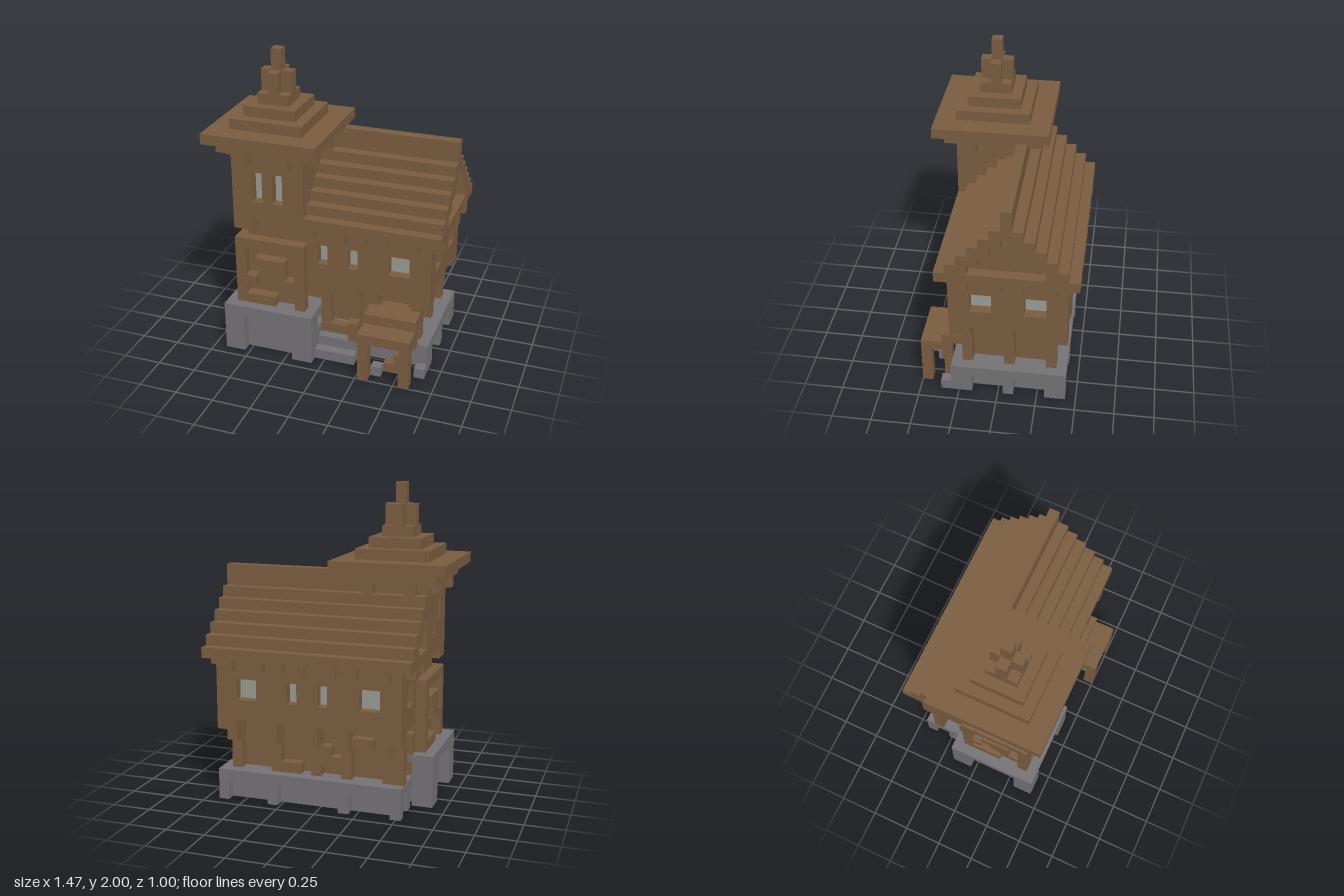
import * as THREE from 'three';
import { mergeGeometries } from 'three/addons/utils/BufferGeometryUtils.js';

const U = 1 / 15; // one building block

export function createModel() {
  const model = new THREE.Group();
  const mat = (name, color) => {
    const m = new THREE.MeshStandardMaterial({ color });
    m.name = name;
    return m;
  };
  const wood = mat('wood', 0x7a5d40);
  const stone = mat('stone', 0x747274);
  const glass = mat('glass', 0x9a9b93);

  // A box given by its limits in blocks
  const box = (x0, x1, y0, y1, z0, z1) => new THREE.BoxGeometry((x1 - x0) * U, (y1 - y0) * U, (z1 - z0) * U)
    .translate((x0 + x1) / 2 * U, (y0 + y1) / 2 * U, (z0 + z1) / 2 * U);
  const part = (name, material, boxes) => {
    const mesh = new THREE.Mesh(mergeGeometries(boxes.map(b => (Array.isArray(b) ? box(...b) : b))), material);
    mesh.name = name;
    model.add(mesh);
  };
  // A wall strip pierced by holes [start, end] between heights h0 and h1
  const pierced = (a0, a1, y0, y1, h0, h1, holes, put) => {
    const out = [put(a0, a1, y0, h0), put(a0, a1, h1, y1)];
    let a = a0;
    for (const [s, e] of [...holes, [a1, a1]]) {
      if (s > a) out.push(put(a, s, h0, h1));
      a = e;
    }
    return out;
  };
  const alongX = (z0, z1) => (a, b, y0, y1) => [a, b, y0, y1, z0, z1];
  const alongZ = (x0, x1) => (a, b, y0, y1) => [x0, x1, y0, y1, a, b];

  // Stone base of the house: plinth, top band and small buttresses
  const base = [
    [-7, 9, 0, 3, -5.5, 3.5],
    [-8, 10, 2, 3, -6.5, -5.5], [-8, -7, 2, 3, -6.5, 4.5], [9, 10, 2, 3, -6.5, 4.5],
    [-8, -1, 2, 3, 3.5, 4.5], [3, 10, 2, 3, 3.5, 4.5],
  ];
  for (const x of [-8, -3, 4, 9]) base.push([x, x + 1, 0, 2, -6.5, -5.5]);
  for (const z of [-6.5, -5.5, -1.5, 2.5, 3.5]) base.push([9, 10, 0, 2, z, z + 1]);
  for (const z of [-6.5, -4]) base.push([-8, -7, 0, 2, z, z + 1]);
  base.push([3, 4, 0, 2, 3.5, 4.5]);
  part('houseBase', stone, base);

  // Front steps and loose kerb stones
  part('frontSteps', stone, [
    [-1, 3, 0, 2, 3.5, 4.5], [-1, 3, 0, 1, 4.5, 5.5],
    [5, 6, 0, 1, 5.5, 6.5], [9, 10, 0, 1, 4.5, 5.5],
  ]);

  // Stone base of the tower
  const towerBase = [
    [-9, -2, 0, 4, -1.5, 5.5],
    [-10, -1, 4, 5, -2.5, 6.5],
  ];
  for (const x of [-10, -3]) for (const z of [-2.5, 4.5]) towerBase.push([x, x + 2, 0, 4, z, z + 2]);
  part('towerBase', stone, towerBase);
  part('floor', wood, [[-6, 7, -0.02, 0.02, -4.5, 2.5], [-7, 8, -0.02, 0.02, -3.5, 1.5], [-7, -3, -0.02, 0.02, 1.5, 4.5]]);

  // Ground floor: recessed walls and timber posts
  const ground = [[-7, 8, 3, 8, -4.5, 2.5], [-1, 3, 2, 3, 2.5, 3.6]];
  for (const x of [-1, 2, 4, 8]) ground.push([x, x + 1, 3, 7, 2.5, 3.5]);
  for (const z of [-5.5, -1.5, 2.5]) ground.push([8, 9, 3, 7, z, z + 1]);
  for (const x of [-7, -3, 0, 4, 8]) {
    ground.push([x, x + 1, 3, 7, -5.5, -4.5], [x, x + 1, 6, 7, -6.5, -4.5]);
  }
  ground.push([-2, 0, 4, 5, -5.5, -4.5], [-1, 1, 5, 6, -5.5, -4.5], [2, 4, 3, 4, -5.5, -4.5], [-5, -3, 6, 7, -5.5, -4.5]);
  for (const z of [-5.5, -2.5]) ground.push([-8, -7, 3, 7, z, z + 1]);
  ground.push([2, 3, 2, 4, 3.5, 4.5], [-1, 3, 7, 8, 2.5, 3.5]);
  part('groundFloor', wood, ground);

  // Jettied upper floor with window openings
  const longHoles = [[-6, -4], [-1, 0], [2, 3], [6, 8]];
  const sideHoles = [[-4.5, -2.5], [0.5, 2.5]];
  part('upperFloor', wood, [
    [-7, 9, 8, 14, -5.5, 3.5],
    ...pierced(-8, 10, 8, 14, 10, 12, longHoles.slice(1), alongX(3.5, 4.5)),
    ...pierced(-8, 10, 8, 14, 10, 12, longHoles, alongX(-6.5, -5.5)),
    ...pierced(-6.5, 4.5, 8, 14, 10, 12, sideHoles, alongZ(9, 10)),
    ...pierced(-6.5, 4.5, 8, 14, 10, 12, sideHoles.slice(0, 1), alongZ(-8, -7)),
  ]);

  // Lower edge of the upper floor, notched between the posts
  const skirt = [];
  for (const [a, b] of [[-8, -1], [-1, 3], [4, 5], [8, 10]]) skirt.push([a, b, 7, 8, 3.5, 4.5]);
  for (const [a, b] of [[-8, -6], [-3, -2], [0, 1], [4, 5], [8, 10]]) skirt.push([a, b, 7, 8, -6.5, -4.5]);
  for (const [a, b] of [[-6.5, -4.5], [-1.5, -0.5], [2.5, 4.5]]) skirt.push([8, 10, 7, 8, a, b], [-8, -7, 7, 8, a, b]);
  part('upperFloorSkirt', wood, skirt);

  // Corbels under the eaves
  const corbels = [];
  for (const x of [-2, 1, 3, 5, 8]) corbels.push([x, x + 1, 13, 14, 4.5, 5.5]);
  for (const x of [-7, -4, -2, 1, 3, 5, 8]) corbels.push([x, x + 1, 13, 14, -7.5, -6.5]);
  for (const z of [2.5, -0.5, -2.5, -5.5]) corbels.push([10, 11, 13, 14, z, z + 1]);
  for (const z of [-2.5, -5.5]) corbels.push([-9, -8, 13, 14, z, z + 1]);
  part('eaveCorbels', wood, corbels);

  // Stepped gable roof, its ends overhanging the gable walls
  const roof = [[-9, 11, 14, 15, -7.5, 5.5], [-9, 11, 19, 20, -2.5, 0.5], [-9, 11, 20, 22, -1.5, -0.5]];
  for (let i = 1; i < 5; i++) {
    const half = 6.5 - i;
    roof.push([-8, 10, 14 + i, 15 + i, -1 - half, -1 + half]);
    for (const x of [-9, 10]) {
      roof.push([x, x + 1, 14 + i, 15 + i, -1 - half, 1 - half], [x, x + 1, 14 + i, 15 + i, -3 + half, -1 + half]);
    }
  }
  part('houseRoof', wood, roof);

  // Lower tower: recessed core, corner posts and a stepped brace on each open face
  const lower = [[-8, -3, 5, 13, -0.5, 4.5]];
  for (const x of [-9, -3]) for (const z of [-1.5, 4.5]) lower.push([x, x + 1, 5, 12, z, z + 1]);
  const brace = [[-8, -3, 11, 12], [-7, -4, 9, 10], [-6, -4, 8, 9], [-5, -3, 7, 8], [-8, -7, 7, 8], [-8, -5, 5, 6]];
  for (const b of brace) {
    const front = box(...b, 4.5, 5.5);
    const side = front.clone().translate(5.5 * U, 0, -2 * U).rotateY(-Math.PI / 2).translate(-5.5 * U, 0, 2 * U);
    lower.push(front, side);
  }
  part('lowerTower', wood, lower);

  // Upper tower with paired slit windows and a notched lower edge
  const slitsX = [[-7, -6], [-5, -4]], slitsZ = [[0.5, 1.5], [2.5, 3.5]];
  const upper = [
    [-8, -3, 13, 21, -0.5, 4.5],
    [-9, -2, 14, 21, -1.5, -0.5], [-3, -2, 14, 21, -1.5, 5.5],
    ...pierced(-9, -2, 14, 21, 16, 19, slitsX, alongX(4.5, 5.5)),
    ...pierced(-1.5, 5.5, 14, 21, 16, 19, slitsZ, alongZ(-9, -8)),
  ];
  for (const x of [-9, -4]) for (const z of [-1.5, 3.5]) upper.push([x, x + 2, 13, 14, z, z + 2]);
  for (const d of [-2.5, 1.5]) {
    for (const z of [-2.5, 5.5]) upper.push([-5.5 + d, -4.5 + d, 20, 21, z, z + 1]);
    for (const x of [-10, -2]) upper.push([x, x + 1, 20, 21, 2 + d, 3 + d]);
  }
  part('upperTower', wood, upper);

  // Stepped tower roof: half width, bottom, top
  const tiers = [[4.5, 21, 22], [5.5, 22, 23], [3.5, 23, 24], [2.5, 24, 25], [1.5, 25, 26], [0.5, 26, 30]];
  part('towerRoof', wood, tiers.map(([h, y0, y1]) => [-5.5 - h, -5.5 + h, y0, y1, 2 - h, 2 + h]));
  part('towerFinial', wood, [[-7, -4, 26, 28, 1.5, 2.5], [-6, -5, 26, 28, 0.5, 3.5]]);

  // Porch
  part('porchRoof', wood, [[4, 9, 4, 5, 4.5, 7.5], [4, 9, 5, 6, 2.5, 5.5]]);
  part('porchPosts', wood, [
    [4, 5, 0, 4, 6.5, 7.5], [8, 9, 0, 4, 6.5, 7.5],
    [4, 5, 3, 4, 4.5, 5.5], [8, 9, 3, 4, 4.5, 5.5],
  ]);
  part('porchSteps', wood, [[6, 8, 0, 1, 4.5, 5.5], [7, 8, 1, 2, 4.5, 5.5]]);

  // Thin window panes set at the back of the openings
  const t = 0.06;
  const panes = [];
  for (const [a, b] of longHoles.slice(1)) panes.push([a, b, 10, 12, 3.5, 3.5 + t]);
  for (const [a, b] of longHoles) panes.push([a, b, 10, 12, -5.5 - t, -5.5]);
  for (const [a, b] of sideHoles) panes.push([9, 9 + t, 10, 12, a, b]);
  panes.push([-7 - t, -7, 10, 12, -4.5, -2.5]);
  for (const [a, b] of slitsX) panes.push([a, b, 16, 19, 4.5, 4.5 + t]);
  for (const [a, b] of slitsZ) panes.push([-8 - t, -8, 16, 19, a, b]);
  part('windowPanes', glass, panes);

  return model;
}
